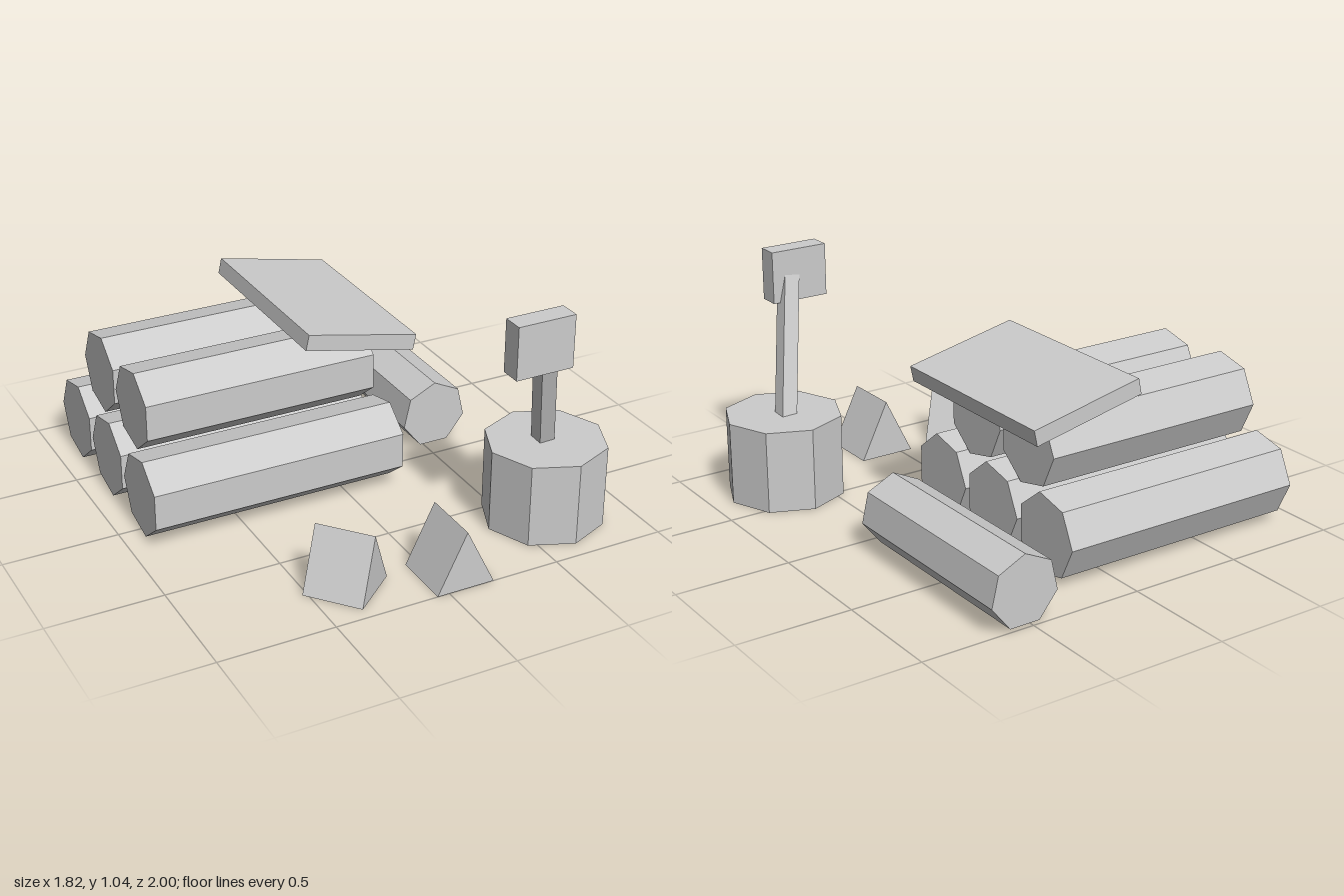
import * as THREE from 'three';

const material = new THREE.MeshStandardMaterial({ color: 0xcccccc, flatShading: true });

function add(group, name, geometry, x, y, z) {
  const mesh = new THREE.Mesh(geometry, material);
  mesh.name = name;
  mesh.position.set(x, y, z);
  group.add(mesh);
  return mesh;
}

// Seven-sided log standing along y, one corner facing -z
const logGeometry = (radius, length) =>
  new THREE.CylinderGeometry(radius, radius, length, 7, 1, false, Math.PI);

// Triangular prism with its ridge along z, standing on y = 0
function wedgeGeometry(width, height, depth) {
  const shape = new THREE.Shape([
    new THREE.Vector2(-width / 2, 0),
    new THREE.Vector2(width / 2, 0),
    new THREE.Vector2(0, height),
  ]);
  return new THREE.ExtrudeGeometry(shape, { depth, bevelEnabled: false }).translate(0, 0, -depth / 2);
}

export function createModel() {
  const model = new THREE.Group();
  model.name = 'woodPile';

  // Stacked logs: three below, two above
  const stack = new THREE.Group();
  stack.name = 'logStack';
  model.add(stack);
  for (const z of [0.04, -0.33, -0.7]) {
    add(stack, 'bottomLog', logGeometry(0.18, 1.14), -0.34, 0.185, z).rotation.z = Math.PI / 2;
  }
  for (const z of [-0.14, -0.505]) {
    add(stack, 'topLog', logGeometry(0.18, 1.04), -0.34, 0.495, z).rotation.z = Math.PI / 2;
  }

  // Loose log lying along z beside the stack
  add(model, 'looseLog', logGeometry(0.155, 0.93), 0.54, 0.155, -0.535).rotation.x = Math.PI / 2;

  // Plank tilted over the stack
  add(model, 'plank', new THREE.BoxGeometry(0.515, 0.07, 0.88), 0.075, 0.694, -0.327).rotation.z = -0.209;

  // Chopping stump
  add(model, 'stump', new THREE.CylinderGeometry(0.26, 0.26, 0.365, 8), 0.647, 0.1825, 0.66);

  // Axe: handle leaning out of the stump into the head
  const axe = new THREE.Group();
  axe.name = 'axe';
  model.add(axe);
  const from = new THREE.Vector3(0.657, 0.3, 0.623);
  const to = new THREE.Vector3(0.5, 0.925, 0.836);
  const middle = from.clone().add(to).multiplyScalar(0.5);
  const handle = add(axe, 'axeHandle', new THREE.BoxGeometry(0.07, from.distanceTo(to), 0.07), ...middle.toArray());
  handle.quaternion.setFromUnitVectors(new THREE.Vector3(0, 1, 0), to.clone().sub(from).normalize());
  add(axe, 'axeHead', new THREE.BoxGeometry(0.26, 0.23, 0.093), 0.465, 0.925, 0.846);

  // Split wood wedges on the ground
  add(model, 'wedgeLeft', wedgeGeometry(0.256, 0.26, 0.26), 0.075, 0, 0.87);
  add(model, 'wedgeRight', wedgeGeometry(0.256, 0.26, 0.256), -0.34, 0, 0.763).rotation.y = 0.7;

  return model;
}
